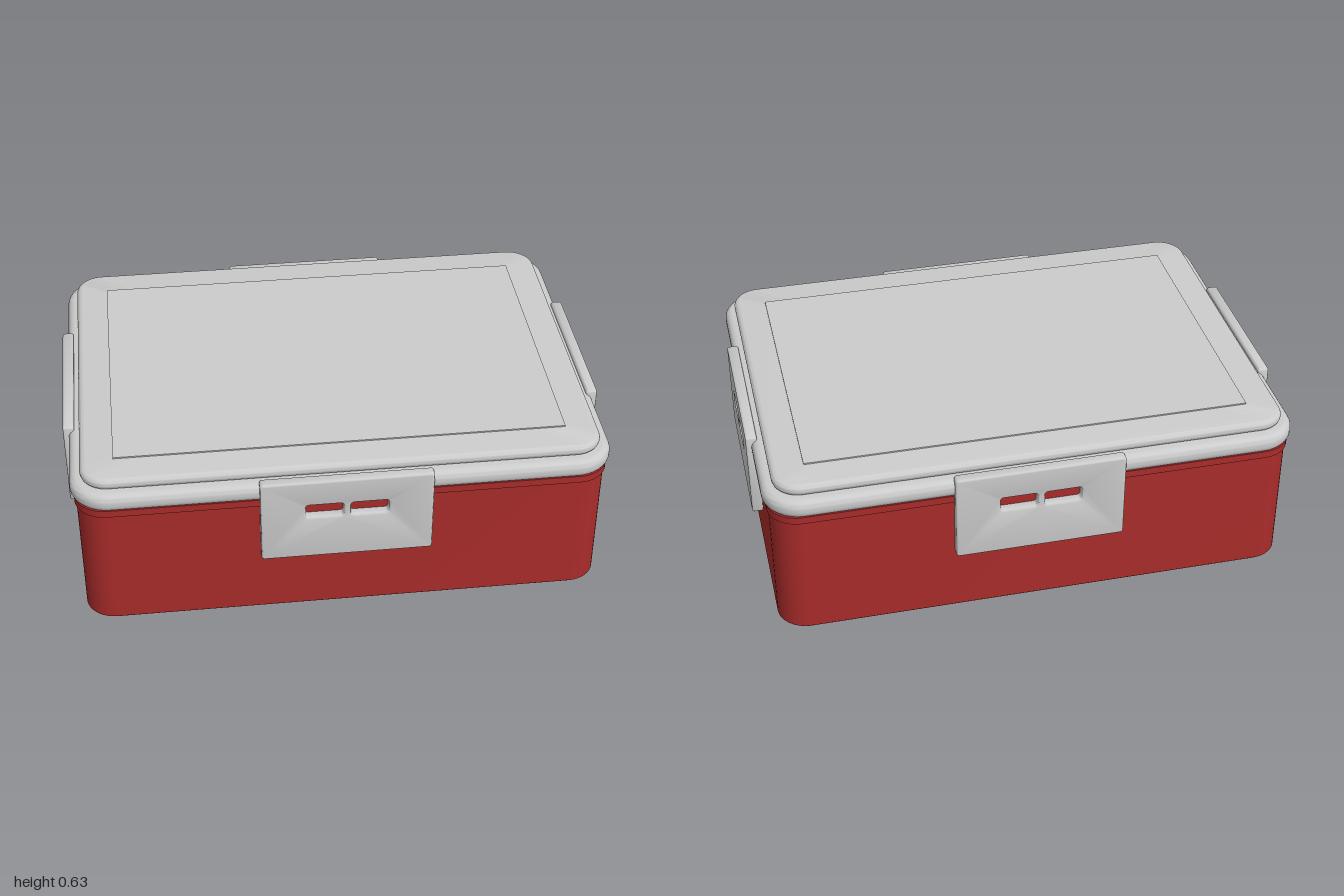
import * as THREE from 'three';
import { toCreasedNormals } from 'three/addons/utils/BufferGeometryUtils.js';

const grey = new THREE.MeshStandardMaterial({ color: 0xcccccc });
const red = new THREE.MeshStandardMaterial({ color: 0xa82c2a });

// Closed solid: rounded rectangles stacked along a profile of [inset, y] points.
function loft(halfX, halfZ, radius, profile, steps = 10) {
  const pos = [], index = [];
  const n = 4 * (steps + 1);
  for (const [inset, y] of profile) {
    const r = Math.max(radius - inset, 0.005);
    const cx = halfX - inset - r, cz = halfZ - inset - r;
    for (let q = 0; q < 4; q++) {
      const sx = q === 0 || q === 3 ? 1 : -1, sz = q < 2 ? -1 : 1;
      for (let s = 0; s <= steps; s++) {
        const a = (q + s / steps) * Math.PI / 2;
        pos.push(sx * cx + r * Math.cos(a), y, sz * cz - r * Math.sin(a));
      }
    }
  }
  const last = (profile.length - 1) * n, bottom = profile.length * n, top = bottom + 1;
  pos.push(0, profile[0][1], 0, 0, profile[profile.length - 1][1], 0);
  for (let j = 0; j < n; j++) {
    const k = (j + 1) % n;
    for (let i = 0; i < last; i += n) {
      index.push(i + j, i + k, i + n + k, i + j, i + n + k, i + n + j);
    }
    index.push(bottom, k, j, top, last + j, last + k);
  }
  const g = new THREE.BufferGeometry();
  g.setAttribute('position', new THREE.Float32BufferAttribute(pos, 3));
  g.setIndex(index);
  return toCreasedNormals(g, 0.6);
}

// Half-round edge between two heights; inset grows toward top and bottom.
function roundedEdge(y0, y1, r, steps = 6) {
  const pts = [];
  for (let i = 0; i <= steps; i++) {
    const a = i / steps * Math.PI / 2;
    pts.push([r * (1 - Math.sin(a)), y0 + r * (1 - Math.cos(a))]);
  }
  return [...pts, ...pts.map(([d, y]) => [d, y0 + y1 - y]).reverse()];
}

function roundedRect(path, x0, y0, x1, y1, r) {
  path.moveTo(x0 + r, y0);
  path.lineTo(x1 - r, y0);
  path.absarc(x1 - r, y0 + r, r, -Math.PI / 2, 0);
  path.lineTo(x1, y1 - r);
  path.absarc(x1 - r, y1 - r, r, 0, Math.PI / 2);
  path.lineTo(x0 + r, y1);
  path.absarc(x0 + r, y1 - r, r, Math.PI / 2, Math.PI);
  path.lineTo(x0, y0 + r);
  path.absarc(x0 + r, y0 + r, r, Math.PI, Math.PI * 1.5);
  return path;
}

// Flat latch plate with two slots and softened edges.
function clipGeometry(depth) {
  const bevel = 0.008;
  const shape = roundedRect(new THREE.Shape(), -0.312, 0.255, 0.312, 0.598, 0.012);
  for (const x of [-0.15, 0.013]) {
    shape.holes.push(roundedRect(new THREE.Path(), x, 0.438, x + 0.137, 0.492, 0.012));
  }
  const g = new THREE.ExtrudeGeometry(shape, {
    depth: depth - 2 * bevel, curveSegments: 5,
    bevelSize: bevel, bevelThickness: bevel, bevelOffset: -bevel, bevelSegments: 3,
  });
  g.translate(0, 0, bevel);
  return toCreasedNormals(g, 0.6);
}

export function createModel() {
  const group = new THREE.Group();
  const add = (name, geometry, material) => {
    const mesh = new THREE.Mesh(geometry, material);
    mesh.name = name;
    group.add(mesh);
    return mesh;
  };

  // Hollow container and its rim band
  add('container', loft(0.96, 0.7, 0.11, [
    [0.006, 0], [0, 0.006], [0, 0.52], [0.035, 0.52], [0.035, 0.035],
  ]), red);
  add('containerRim', loft(0.967, 0.707, 0.117, [
    [0.007, 0.485], [0, 0.487], [0, 0.515], [0.007, 0.518],
  ]), red);

  // Lid: thick rounded flange, stepped upper plate and raised centre panel
  add('lidFlange', loft(0.98, 0.717, 0.14, roundedEdge(0.512, 0.584, 0.03)), grey);
  add('lidStep', loft(0.925, 0.662, 0.09, [[0, 0.57], [0, 0.6]]), grey);
  add('lidTop', loft(0.94, 0.678, 0.1, roundedEdge(0.582, 0.625, 0.021)), grey);
  const panel = add('lidPanel', new THREE.BoxGeometry(1.64, 0.01, 1.1), grey);
  panel.position.y = 0.625;

  // One latch on each side
  const clip = clipGeometry(0.042);
  ['frontClip', 'leftClip', 'backClip', 'rightClip'].forEach((name, i) => {
    const a = i * Math.PI / 2, d = i % 2 ? 0.958 : 0.691;
    const mesh = add(name, clip, grey);
    mesh.rotation.y = a;
    mesh.position.set(Math.sin(a) * d, 0, Math.cos(a) * d);
  });
  return group;
}
